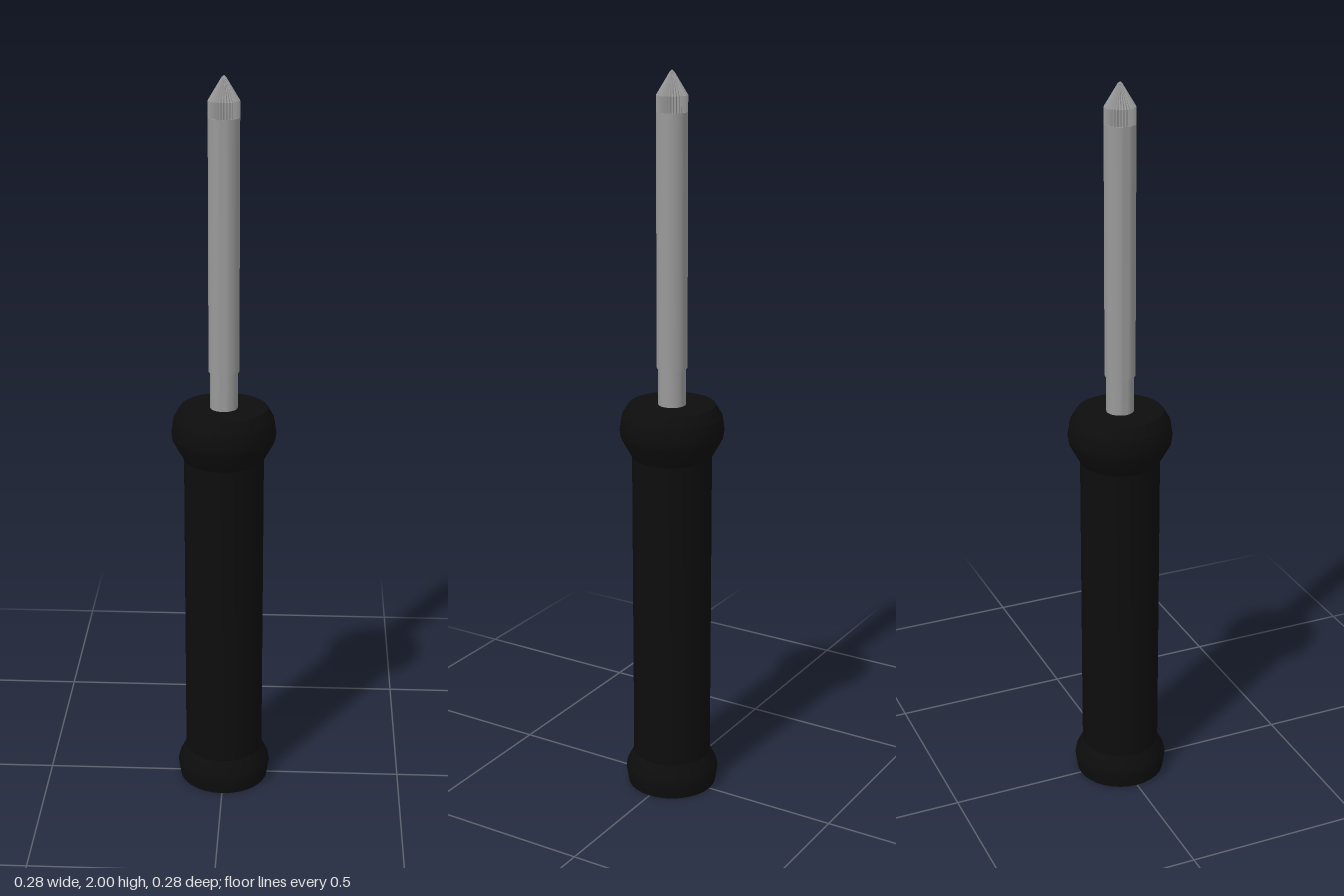
import * as THREE from 'three';
import { toCreasedNormals } from 'three/addons/utils/BufferGeometryUtils.js';

const SIDES = 32;

// Turned part from [radius, height] pairs, with sharp edges kept
function turned(name, profile, material, sides = SIDES) {
  const points = profile.map(([r, y]) => new THREE.Vector2(r, y));
  const geometry = toCreasedNormals(new THREE.LatheGeometry(points, sides), 0.4);
  const mesh = new THREE.Mesh(geometry, material);
  mesh.name = name;
  return mesh;
}

// Fine flutes: pull every second column of vertices slightly inwards
function flute(geometry, sides, depth) {
  const pos = geometry.attributes.position;
  for (let i = 0; i < pos.count; i++) {
    const angle = Math.atan2(pos.getX(i), pos.getZ(i));
    const column = Math.round((angle / (2 * Math.PI)) * sides + sides);
    if (column % 2) {
      pos.setX(i, pos.getX(i) * (1 - depth));
      pos.setZ(i, pos.getZ(i) * (1 - depth));
    }
  }
  geometry.computeVertexNormals();
}

export function createModel() {
  const model = new THREE.Group();
  model.name = 'screwdriver';

  const rubber = new THREE.MeshStandardMaterial({ color: 0x0d0d0d });
  const steel = new THREE.MeshStandardMaterial({ color: 0x999999 });
  const tipSteel = new THREE.MeshStandardMaterial({ color: 0x999999, flatShading: true });

  // Grip with a flared foot and a wider collar
  model.add(turned('handle', [
    [0, 0], [0.123, 0], [0.13, 0.042], [0.127, 0.058], [0.108, 0.095],
    [0.108, 0.975], [0.138, 1.03], [0.141, 1.05], [0.135, 1.09],
    [0.117, 1.12], [0, 1.12],
  ], rubber));

  // Thin neck stepping out to the main shaft
  model.add(turned('shaft', [
    [0.037, 1.1], [0.037, 1.222], [0.041, 1.222], [0.041, 1.895], [0, 1.895],
  ], steel));

  // Pointed tip with fine flutes
  const tip = turned('tip', [
    [0.041, 1.895], [0.041, 1.937], [0.006, 1.995], [0, 2],
  ], tipSteel, 64);
  flute(tip.geometry, 64, 0.1);
  model.add(tip);

  return model;
}
